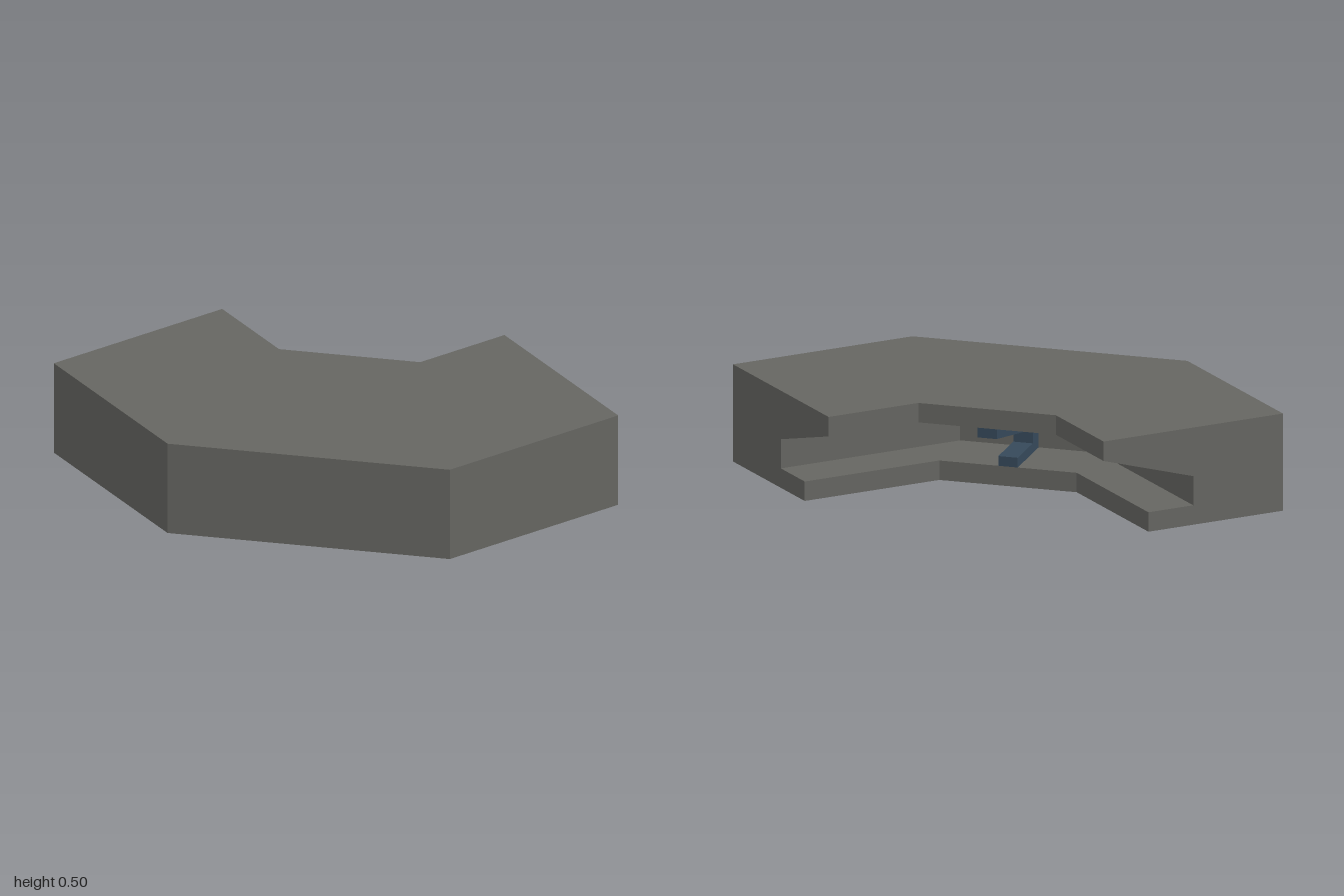
import * as THREE from 'three';

// Cross-section as [depth from the outer wall, height], counter-clockwise
const PROFILE = [
  [0, 0], [0.75, 0], [0.75, 0.1], [0.5, 0.1],
  [0.5, 0.25], [1, 0.4], [1, 0.5], [0, 0.5],
];

// Four stations around the corner; each places a profile point in space
const STATIONS = [
  (d, y) => [1, y, 1 - d],
  (d, y) => [Math.max(0, d - 0.5), y, 1 - d],
  (d, y) => [d - 1, y, Math.min(0, 0.5 - d)],
  (d, y) => [d - 1, y, -1],
];

function cornerGeometry() {
  const rings = STATIONS.map((place) => PROFILE.map(([d, y]) => place(d, y)));
  const positions = [];
  const tri = (a, b, c) => positions.push(...a, ...b, ...c);

  // Walls between neighbouring stations
  for (let s = 0; s < rings.length - 1; s++) {
    const near = rings[s], far = rings[s + 1];
    for (let i = 0; i < PROFILE.length; i++) {
      const j = (i + 1) % PROFILE.length;
      tri(near[i], far[i], far[j]);
      tri(near[i], far[j], near[j]);
    }
  }

  // End caps
  const contour = PROFILE.map(([d, y]) => new THREE.Vector2(d, y));
  const first = rings[0], last = rings[rings.length - 1];
  for (const [a, b, c] of THREE.ShapeUtils.triangulateShape(contour, [])) {
    tri(first[a], first[b], first[c]);
    tri(last[a], last[c], last[b]);
  }

  const geometry = new THREE.BufferGeometry();
  geometry.setAttribute('position', new THREE.Float32BufferAttribute(positions, 3));
  geometry.computeVertexNormals();
  return geometry;
}

// Bracket lining the channel at the middle of the diagonal
function bracketGeometry() {
  const r = Math.SQRT1_2;
  const shape = new THREE.Shape([
    [0, 0.1], [r / 2, 0.1], [r / 2, 0.15], [0.1, 0.15],
    [0.1, 0.221], [r, 0.35], [r, 0.4], [0, 0.25],
  ].map(([x, y]) => new THREE.Vector2(x, y)));
  const width = 0.1;
  return new THREE.ExtrudeGeometry(shape, { depth: width, bevelEnabled: false })
    .translate(0, 0, -width / 2)
    .rotateY(Math.PI / 4)
    .translate(-0.25, 0, 0.25);
}

export function createModel() {
  const stone = new THREE.MeshStandardMaterial({ color: 0x656561 });
  stone.name = 'warm grey';
  const steel = new THREE.MeshStandardMaterial({ color: 0x36495a });
  steel.name = 'steel blue';

  const body = new THREE.Mesh(cornerGeometry(), stone);
  body.name = 'cornerBody';
  const bracket = new THREE.Mesh(bracketGeometry(), steel);
  bracket.name = 'channelBracket';

  const model = new THREE.Group();
  model.name = 'cornerChannel';
  model.add(body, bracket);
  return model;
}
